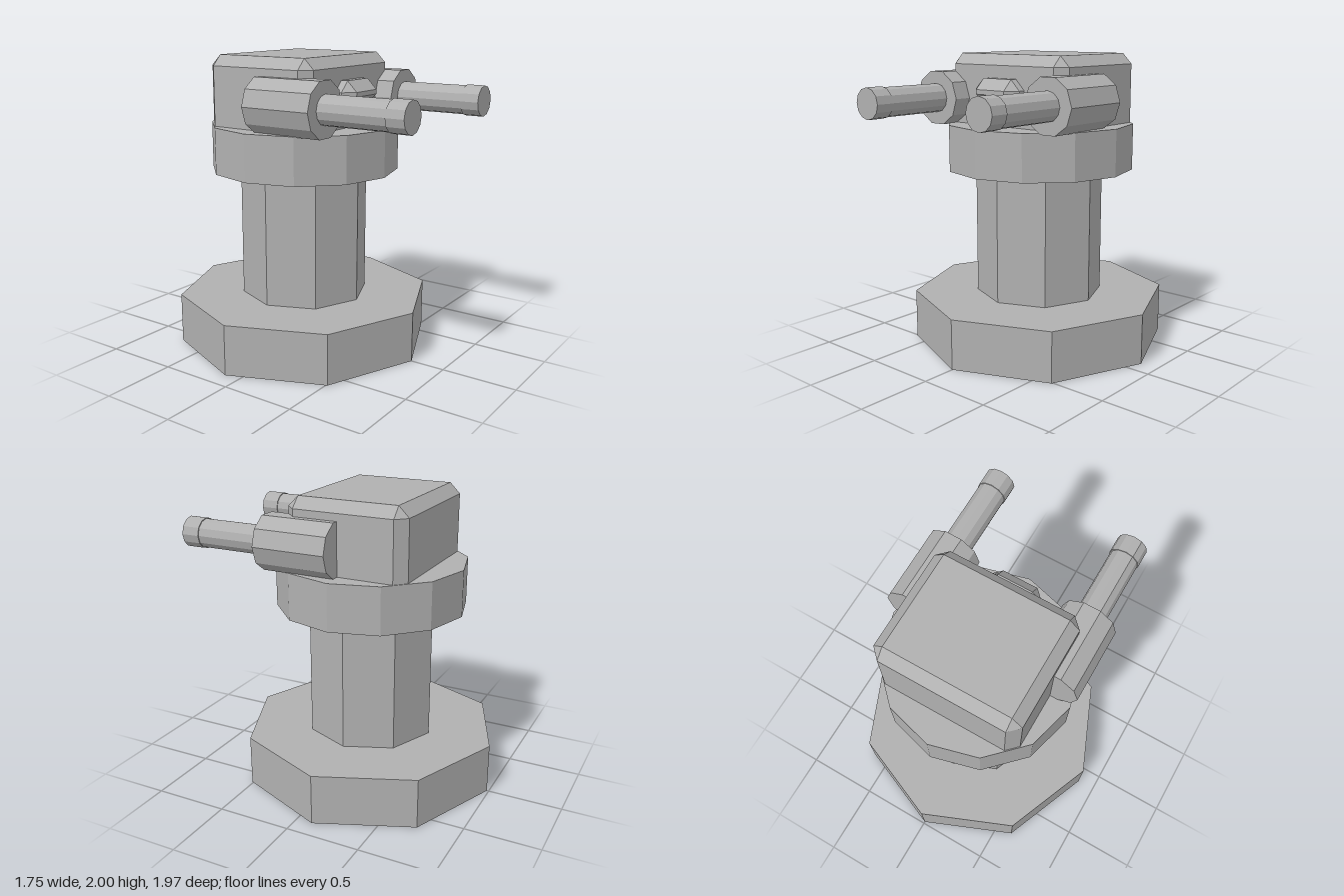
import * as THREE from 'three';
import { ConvexGeometry } from 'three/addons/geometries/ConvexGeometry.js';

const AXIS_Z = -0.11; // vertical axis shared by pedestal and collar

// Block standing on y = 0 with chamfered upright and top edges
function chamferedBlock(w, h, d, c) {
  const points = [];
  for (const sx of [-1, 1]) {
    for (const sz of [-1, 1]) {
      const x = sx * w / 2, z = sz * d / 2;
      const xi = x - sx * c, zi = z - sz * c;
      for (const y of [0, h - c]) {
        points.push(new THREE.Vector3(x, y, zi), new THREE.Vector3(xi, y, z));
      }
      points.push(new THREE.Vector3(xi, h, zi));
    }
  }
  return new ConvexGeometry(points);
}

export function createModel() {
  const model = new THREE.Group();
  model.name = 'turret';
  const grey = new THREE.MeshStandardMaterial({ color: 0xb0b0b0, flatShading: true });
  grey.name = 'grey';

  function add(name, geometry, x, y, z, parent = model) {
    const mesh = new THREE.Mesh(geometry, grey);
    mesh.name = name;
    mesh.position.set(x, y, z);
    parent.add(mesh);
  }

  // Pedestal: upright prisms stacked from the ground
  function addPrism(name, radius, sides, y0, y1) {
    const geometry = new THREE.CylinderGeometry(radius, radius, y1 - y0, sides);
    add(name, geometry, 0, (y0 + y1) / 2, AXIS_Z);
  }
  addPrism('base', 0.877, 8, 0, 0.341);
  addPrism('column', 0.438, 8, 0.341, 1.222);
  addPrism('collar', 0.64, 12, 1.222, 1.534);

  // Head and the small sensor on its front
  add('head', chamferedBlock(0.99, 0.466, 0.82, 0.07), 0, 1.534, -0.14);
  add('sensor', chamferedBlock(0.38, 0.137, 0.17, 0.07).rotateX(Math.PI / 2), 0, 1.762, 0.25);

  // Guns: housing, barrel and muzzle lying along z, one on each side
  for (const side of [-1, 1]) {
    const gun = new THREE.Group();
    gun.name = side > 0 ? 'leftGun' : 'rightGun';
    gun.position.set(side * 0.482, 1.705, 0);
    model.add(gun);

    const addTube = (name, radius, sides, z0, z1) => {
      const geometry = new THREE.CylinderGeometry(radius, radius, z1 - z0, sides, 1, false, Math.PI / 2);
      geometry.rotateX(Math.PI / 2);
      add(name, geometry, 0, 0, (z0 + z1) / 2, gun);
    };
    addTube('housing', 0.185, 10, -0.105, 0.395);
    addTube('barrel', 0.096, 12, 0.395, 0.865);
    addTube('muzzle', 0.102, 12, 0.865, 0.988);
  }

  return model;
}
